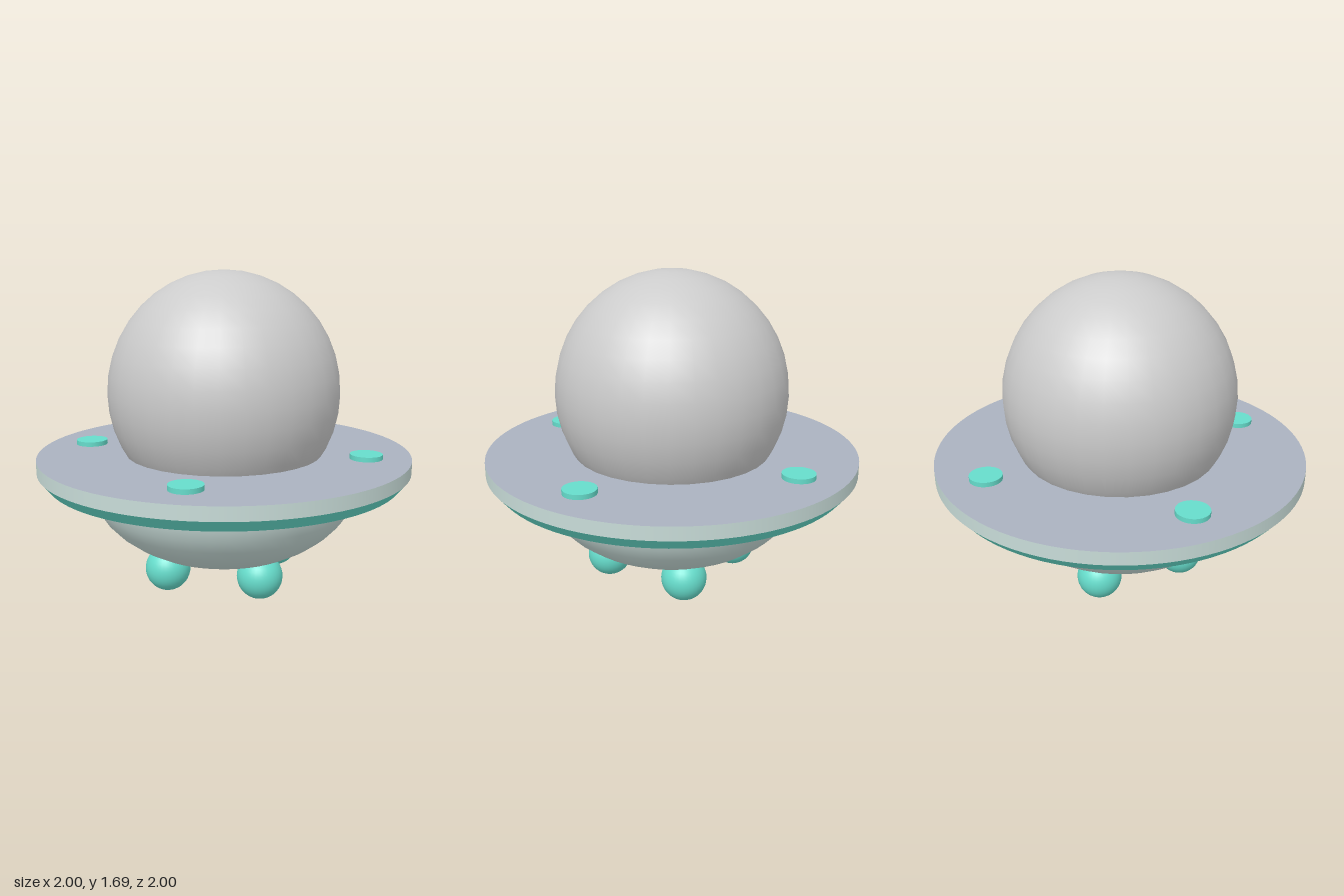
import * as THREE from 'three';

const paint = (color) => new THREE.MeshStandardMaterial({ color });

export function createModel() {
  const model = new THREE.Group();
  const grey = paint(0xcccccc);
  const pale = paint(0xc8dcd8);
  const slate = paint(0xaab2c0);
  const teal = paint(0x66dccb);

  const add = (name, geometry, material, x = 0, y = 0, z = 0) => {
    const mesh = new THREE.Mesh(geometry, material);
    mesh.name = name;
    mesh.position.set(x, y, z);
    model.add(mesh);
    return mesh;
  };

  // Dome, slightly taller than wide
  add('dome', new THREE.SphereGeometry(0.62, 32, 20), grey, 0, 1.05, 0).scale.y = 0.64 / 0.62;

  // Disc: slate top face, pale rim, teal bevel beneath
  add('discRim', new THREE.CylinderGeometry(1, 1, 0.07, 96), [pale, slate, pale], 0, 0.685, 0);
  add('discBevel', new THREE.CylinderGeometry(1, 0.95, 0.06, 96), teal, 0, 0.62, 0);

  // Bowl hull: lower half of a flattened sphere
  const bowl = new THREE.SphereGeometry(0.73, 48, 10, 0, Math.PI * 2, Math.PI / 2, Math.PI / 2);
  add('bowl', bowl, pale, 0, 0.59, 0).scale.y = 0.475 / 0.73;

  // Four lights on the disc and four ball feet between them
  const light = new THREE.CylinderGeometry(0.086, 0.086, 0.03, 32);
  const foot = new THREE.SphereGeometry(0.12, 32, 20);
  for (let i = 0; i < 4; i++) {
    const a = (i * Math.PI) / 2;
    const b = a + Math.PI / 4;
    const spread = 0.25 * Math.SQRT2;
    add('light', light, teal, 0.765 * Math.sin(a), 0.73, 0.765 * Math.cos(a));
    add('foot', foot, teal, spread * Math.sin(b), 0.12, spread * Math.cos(b));
  }
  return model;
}
